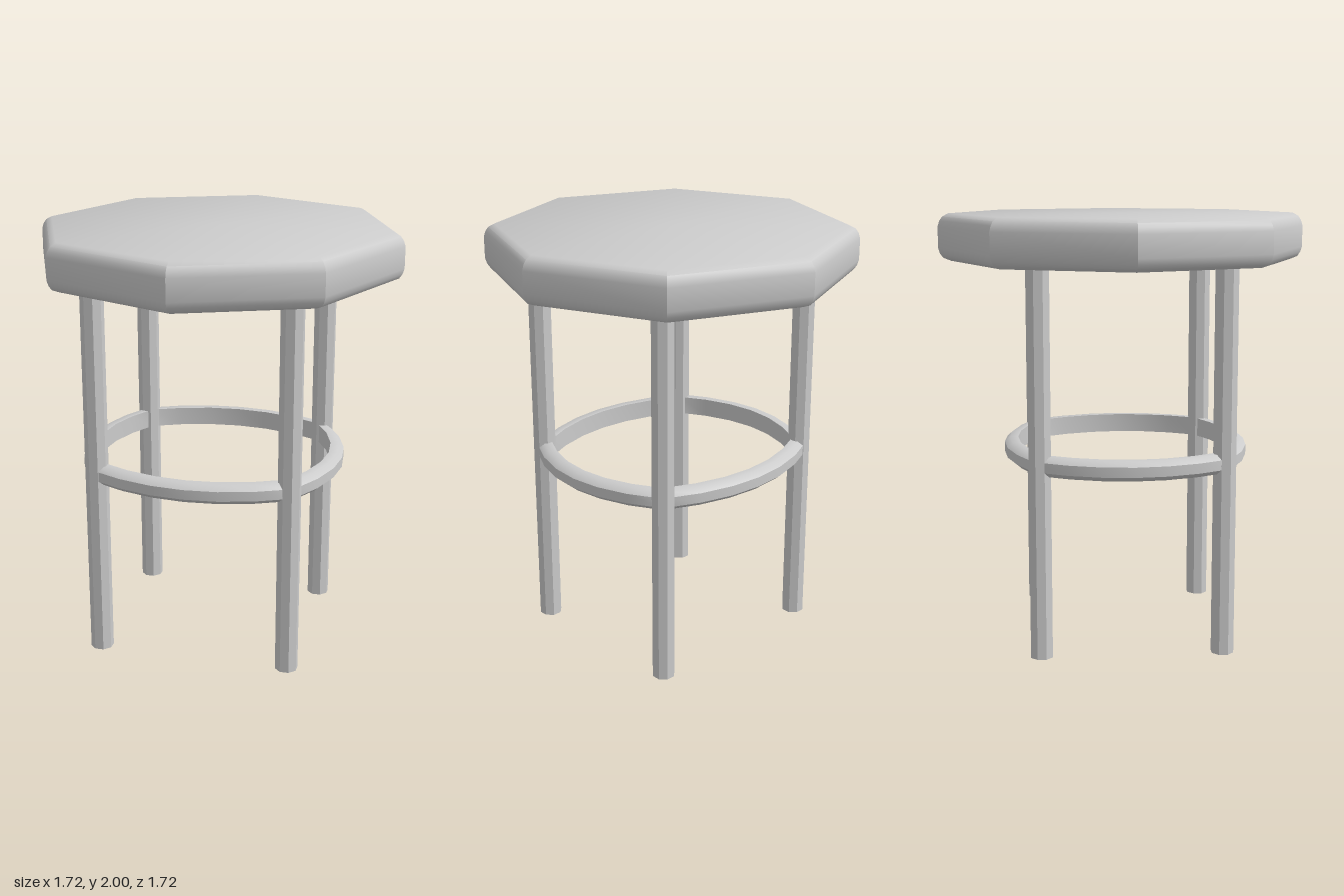
import * as THREE from 'three';
import { toCreasedNormals } from 'three/addons/utils/BufferGeometryUtils.js';

const material = new THREE.MeshStandardMaterial({ color: 0xcccccc });

function addMesh(group, name, geometry) {
  const mesh = new THREE.Mesh(geometry, material);
  mesh.name = name;
  group.add(mesh);
  return mesh;
}

// Sweeps a closed section (outward offset, height) around a closed level path
function sweepRing(path, section) {
  const n = path.length, m = section.length;
  const positions = [], indices = [];
  path.forEach((p, i) => {
    const before = p.clone().sub(path[(i + n - 1) % n]).normalize();
    const after = path[(i + 1) % n].clone().sub(p).normalize();
    const tangent = before.clone().add(after).normalize();
    const miter = 1 / tangent.dot(after);
    for (const [out, y] of section) {
      positions.push(p.x - tangent.y * out * miter, y, p.y + tangent.x * out * miter);
    }
    for (let j = 0; j < m; j++) {
      const k = (j + 1) % m, next = (i + 1) % n;
      const a = i * m + j, b = i * m + k, c = next * m + j, d = next * m + k;
      indices.push(a, c, b, b, c, d);
    }
  });
  const geometry = new THREE.BufferGeometry();
  geometry.setAttribute('position', new THREE.Float32BufferAttribute(positions, 3));
  geometry.setIndex(indices);
  return toCreasedNormals(geometry, 0.8);
}

export function createModel() {
  const stool = new THREE.Group();
  stool.name = 'stool';

  // Eight-sided seat with a rounded rim
  const profile = [
    [0, 1.78], [0.8, 1.78], [0.838, 1.795], [0.852, 1.815], [0.86, 1.84],
    [0.86, 1.94], [0.852, 1.965], [0.838, 1.985], [0.81, 2], [0, 2],
  ].map(([r, y]) => new THREE.Vector2(r, y));
  addMesh(stool, 'seat', toCreasedNormals(new THREE.LatheGeometry(profile, 8), 0.62));

  // Four straight octagonal legs, in order around the stool (x, z)
  const feet = [[0.44, 0.43], [0.44, -0.405], [-0.47, -0.405], [-0.47, 0.43]]
    .map(([x, z]) => new THREE.Vector2(x, z));
  const legGeometry = toCreasedNormals(
    new THREE.CylinderGeometry(0.054, 0.054, 1.8, 8, 1, false, Math.PI / 8), 0.6);
  for (const foot of feet) {
    addMesh(stool, 'leg', legGeometry).position.set(foot.x, 0.9, foot.y);
  }

  // Footrest: a bowed rail between each pair of legs, flat inside and rounded outside
  const path = [], steps = 6;
  feet.forEach((from, i) => {
    const to = feet[(i + 1) % 4];
    const along = to.clone().sub(from).normalize();
    const outward = new THREE.Vector2(-along.y, along.x);
    const bow = i % 2 ? 0.125 : 0.135;
    for (let s = 0; s < steps; s++) {
      const t = s / steps;
      path.push(from.clone().lerp(to, t).addScaledVector(outward, bow * 4 * t * (1 - t)));
    }
  });
  const section = [[-0.03, 0.85], [0.008, 0.85], [0.034, 0.872],
    [0.034, 0.918], [0.008, 0.94], [-0.03, 0.94]];
  addMesh(stool, 'footrest', sweepRing(path, section));

  return stool;
}
